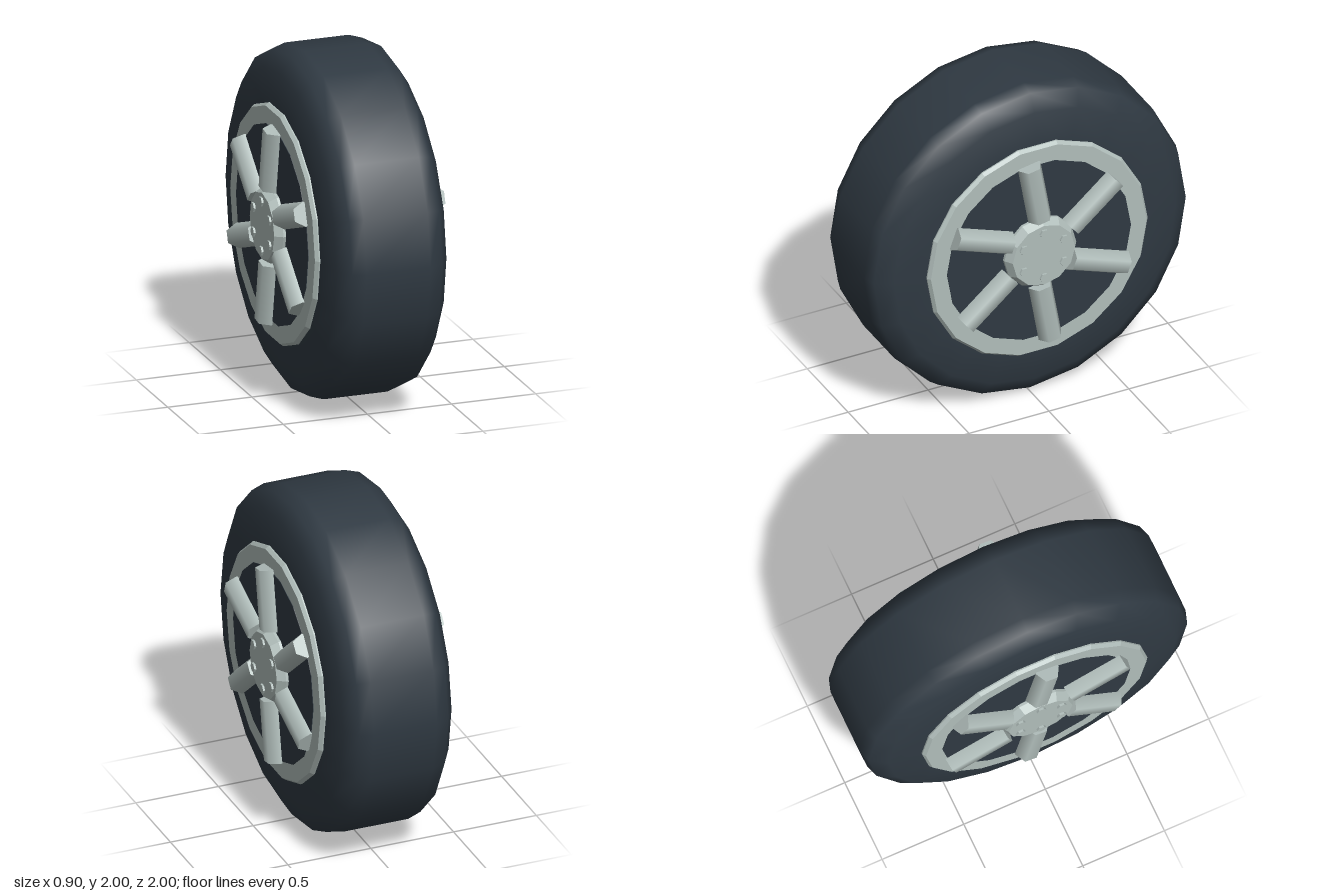
import * as THREE from 'three';

const rubber = new THREE.MeshStandardMaterial({ color: 0x2f3942 });
rubber.name = 'darkRubber';
const metal = new THREE.MeshStandardMaterial({ color: 0xb0bdba });
metal.name = 'paleMetal';

// Faceted copy of a geometry
function faceted(geometry) {
  const flat = geometry.index ? geometry.toNonIndexed() : geometry;
  flat.computeVertexNormals();
  return flat;
}

// Lathe from [radius, distance along the axle] points, axle along x
function turned(points, segments, side = 1) {
  const profile = points.map(([r, d]) => new THREE.Vector2(r, d));
  return new THREE.LatheGeometry(profile, segments).rotateZ(-side * Math.PI / 2);
}

function add(parent, name, geometry, material) {
  const mesh = new THREE.Mesh(geometry, material);
  mesh.name = name;
  parent.add(mesh);
  return mesh;
}

// Everything mounted on one face of the wheel; side is +1 or -1
function createWheelFace(side) {
  const face = new THREE.Group();
  face.name = side > 0 ? 'leftWheelFace' : 'rightWheelFace';

  // Bevelled ring and the dark disc behind the spokes
  add(face, 'rimRing', faceted(turned(
    [[0.69, 0.32], [0.69, 0.358], [0.675, 0.377], [0.57, 0.377]], 18, side)), metal);
  add(face, 'backDisc', faceted(turned(
    [[0.575, 0.33], [0.575, 0.38], [0, 0.38]], 18, side)), rubber);

  // Hub with sloping sides
  add(face, 'hub', faceted(turned(
    [[0.228, 0.36], [0.225, 0.395], [0.195, 0.44], [0, 0.44]], 12, side)), metal);

  for (let i = 0; i < 6; i++) {
    const turn = i * Math.PI / 3;

    // Six-sided spokes, set beside the radius like a pinwheel
    const pivot = new THREE.Group();
    pivot.name = 'spokePivot';
    pivot.rotation.x = turn + THREE.MathUtils.degToRad(10);
    face.add(pivot);
    const spoke = add(pivot, 'spoke',
      new THREE.CylinderGeometry(0.071, 0.071, 0.365, 6), metal);
    spoke.position.set(side * 0.386, 0.3985, -0.037);

    // Hexagonal bolts
    const bolt = add(face, 'bolt', faceted(
      new THREE.CylinderGeometry(0.028, 0.028, 0.02, 6).rotateZ(Math.PI / 2)), metal);
    bolt.position.set(side * 0.442, Math.cos(turn) * 0.145, Math.sin(turn) * 0.145);
  }
  return face;
}

export function createModel() {
  const wheel = new THREE.Group();
  wheel.name = 'wheel';
  wheel.position.y = 1;

  // Tyre with rounded shoulders
  const half = [[0.55, 0.348], [0.69, 0.35], [0.88, 0.328], [0.975, 0.268], [1, 0.19]];
  const profile = [
    ...half.map(([r, d]) => [r, -d]),
    ...half.slice().reverse(),
  ];
  add(wheel, 'tyre', turned(profile, 20), rubber);

  for (const side of [1, -1]) wheel.add(createWheelFace(side));

  const model = new THREE.Group();
  model.name = 'model';
  model.add(wheel);
  return model;
}
